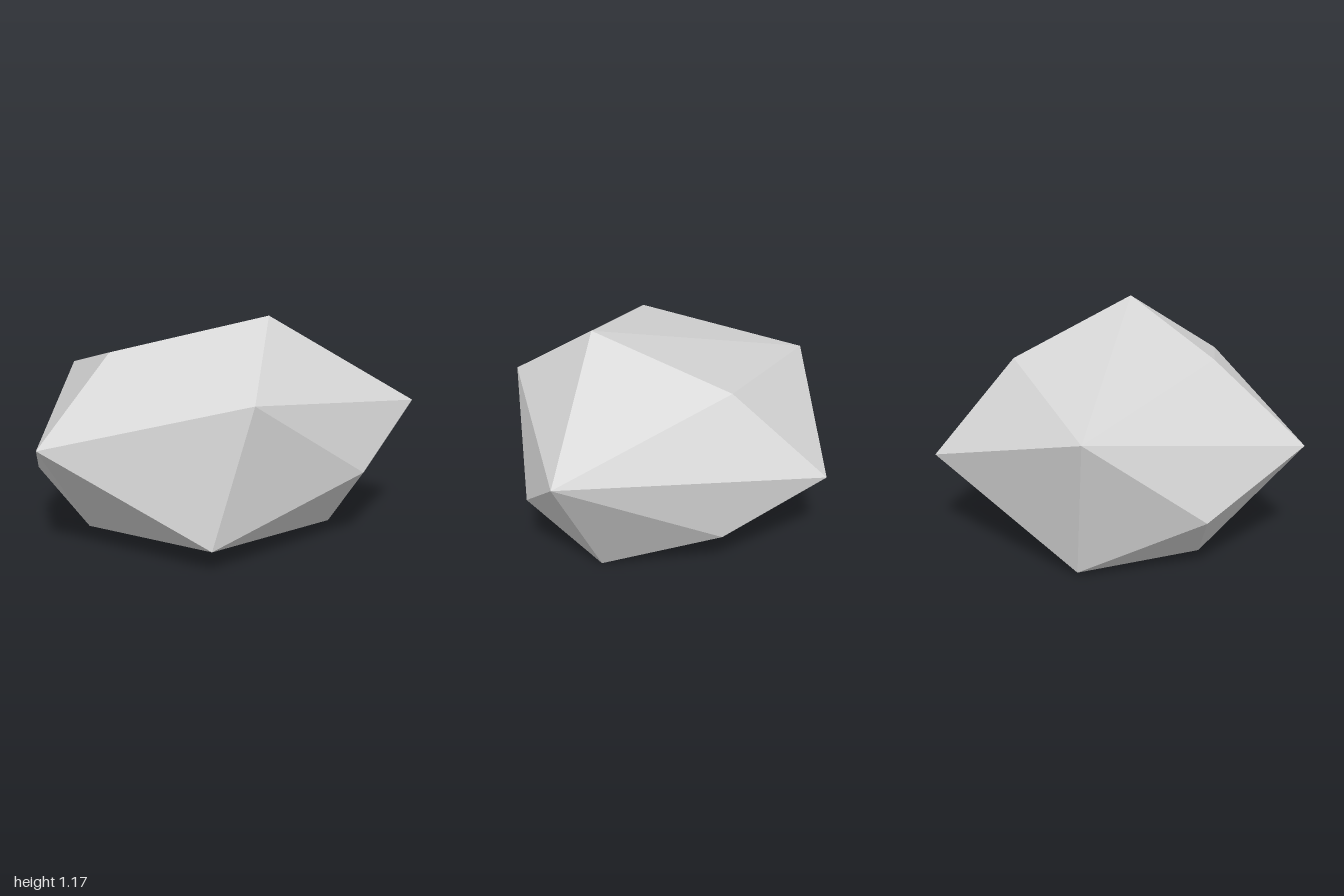
import * as THREE from 'three';
import { ConvexGeometry } from 'three/addons/geometries/ConvexGeometry.js';

// Corners of the faceted boulder, from crown to base
const corners = [
  // crown
  [0.205, 1.175, 0.38], [-0.6, 1.0, 0.28], [0.28, 0.92, -0.37],
  // upper ring
  [0.01, 0.83, 0.865], [1, 0.695, 0.39], [-0.7, 0.77, -0.64], [-1, 0.585, 0.555], [0.28, 0.48, -0.875],
  // lower ring
  [0.645, 0.39, 0.64], [-0.96, 0.31, -0.07], [0.53, 0.21, -0.37], [-0.2, 0.12, 0.875],
  // base
  [0.59, 0, 0.265], [-0.71, 0.015, 0.11], [-0.545, 0.025, -0.555],
];

export function createModel() {
  const group = new THREE.Group();
  group.name = 'boulder';

  const stone = new THREE.MeshStandardMaterial({ color: 0xd5d5d5 });
  stone.name = 'pale stone grey';

  // The hull has one flat normal per facet
  const rock = new THREE.Mesh(
    new ConvexGeometry(corners.map((c) => new THREE.Vector3(...c))),
    stone,
  );
  rock.name = 'rock';
  group.add(rock);

  return group;
}
